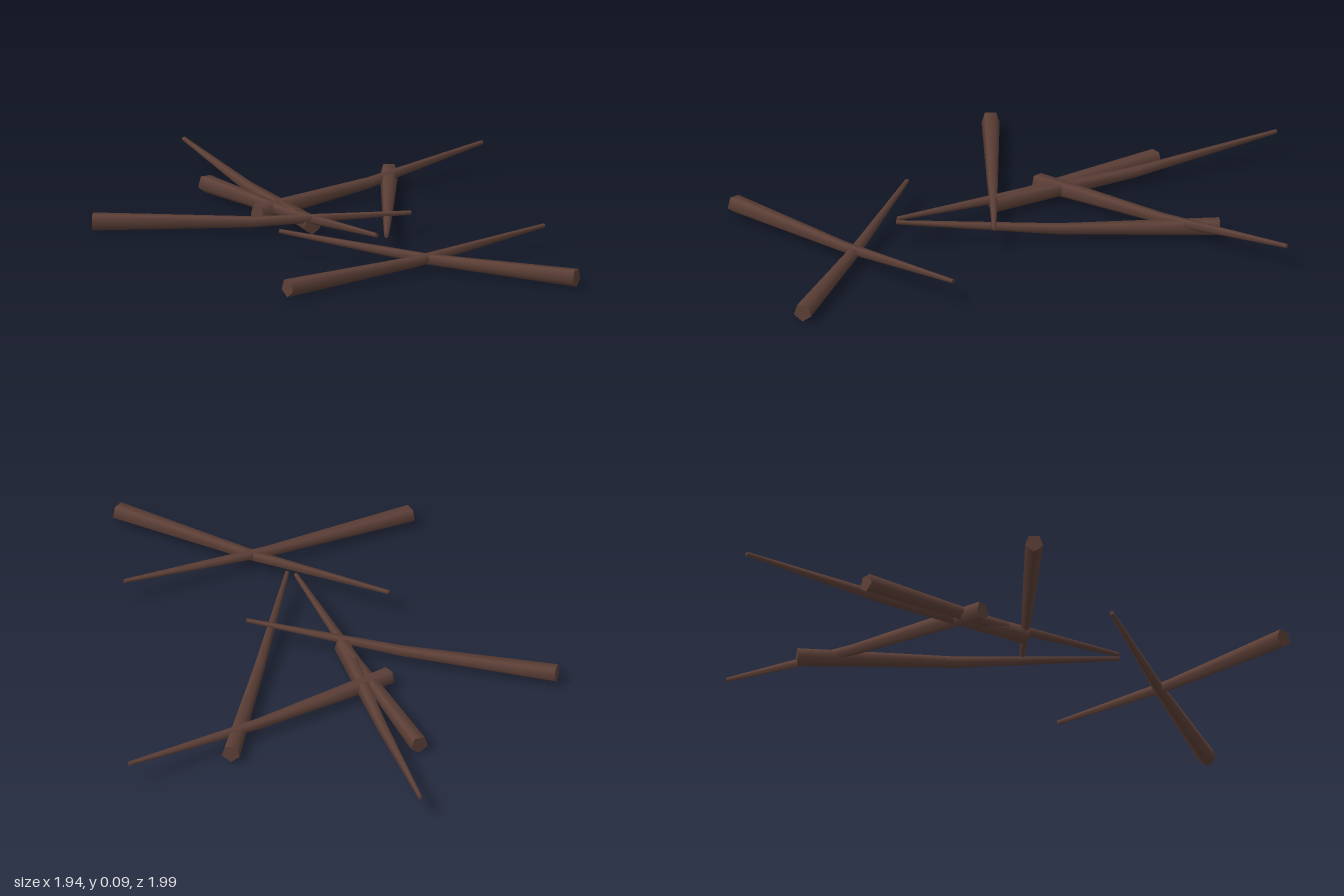
import * as THREE from 'three';

// One tapered five-sided stick, thick end at the origin, running along +z;
// level for the first half, then its thin half bends upward.
function stickGeometry(length) {
  const geometry = new THREE.CylinderGeometry(0.008, 0.033, length, 5, 2);
  geometry.rotateX(Math.PI / 2);
  geometry.translate(0, 0, length / 2);
  const p = geometry.attributes.position;
  for (let i = 0; i < p.count; i++) {
    const t = p.getZ(i) / length;
    const lift = t < 0.5 ? t * 0.018 : 0.009 + (t - 0.5) * 0.086;
    p.setY(i, p.getY(i) + lift);
  }
  return geometry;
}

export function createModel() {
  const group = new THREE.Group();
  group.name = 'scatteredSticks';
  const bark = new THREE.MeshStandardMaterial({ color: 0x5d4037 });
  bark.name = 'brownBark';

  // Thick end x, z and thin end x, z of each stick
  const sticks = [
    [-0.885, 0.36, 0.165, 0.015],
    [0.967, 0.457, -0.155, 0.432],
    [0.1, 0.978, 0.66, 0.008],
    [-0.402, 0.038, 0.01, -0.998],
    [-0.208, -0.685, 0.213, 0.355],
    [-0.73, -0.288, 0.18, 0.36],
    [-0.16, 0.125, -0.963, -0.652],
  ];

  sticks.forEach(([x0, z0, x1, z1], i) => {
    const dx = x1 - x0;
    const dz = z1 - z0;
    const stick = new THREE.Mesh(stickGeometry(Math.hypot(dx, dz)), bark);
    stick.name = `stick${i + 1}`;
    stick.position.set(x0, 0.038, z0);
    stick.rotation.y = Math.atan2(dx, dz);
    group.add(stick);
  });

  return group;
}
